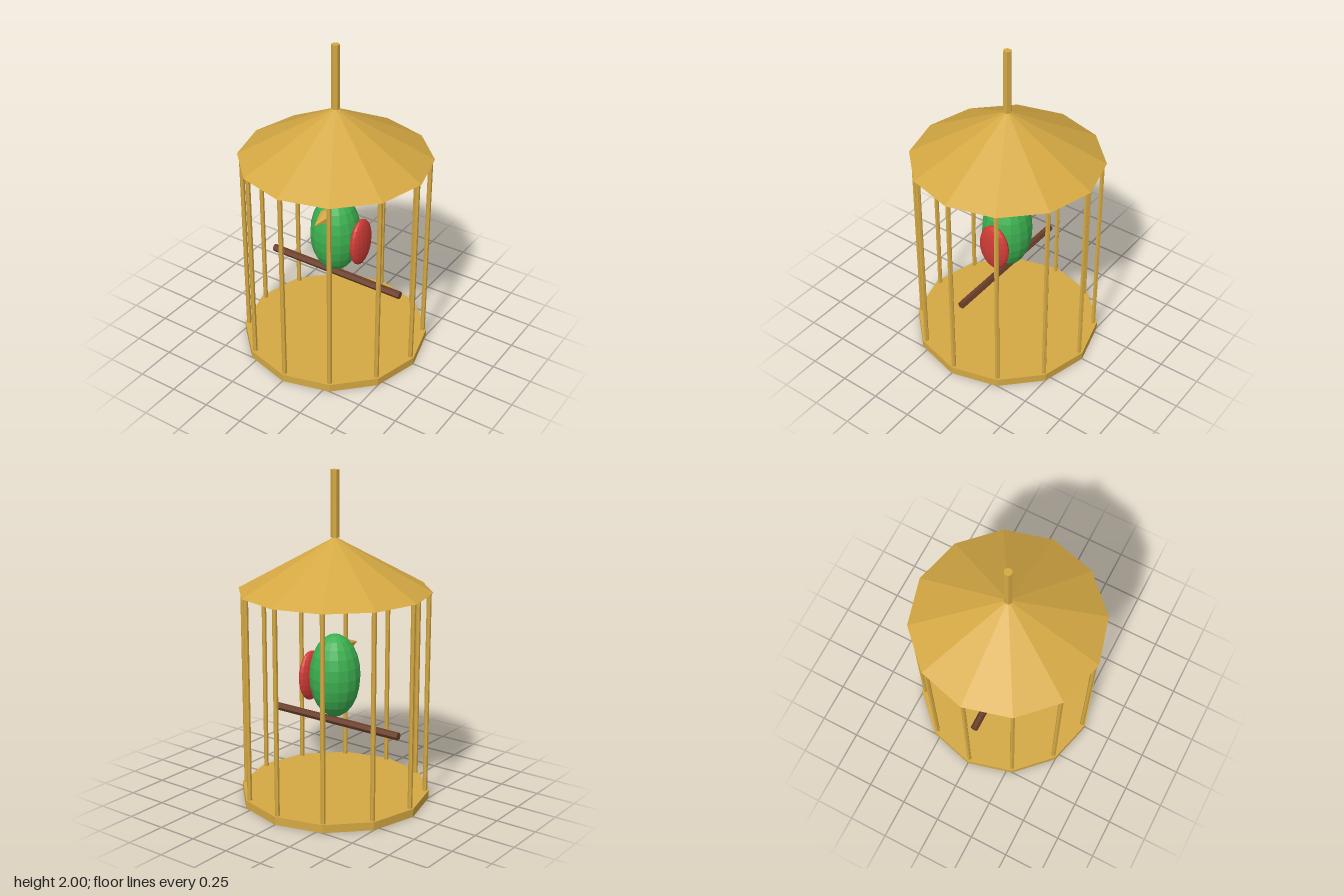
import * as THREE from 'three';

const material = (name, color) => {
  const m = new THREE.MeshStandardMaterial({ color, flatShading: true });
  m.name = name;
  return m;
};

export function createModel() {
  const gold = material('gold', 0xd4a843);
  const green = material('green', 0x3cb050);
  const red = material('red', 0xd03c36);
  const brown = material('brown', 0x6b3e2a);

  const model = new THREE.Group();
  model.name = 'birdcage';
  const add = (name, geometry, mat, x, y, z, parent = model) => {
    const mesh = new THREE.Mesh(geometry, mat);
    mesh.name = name;
    mesh.position.set(x, y, z);
    parent.add(mesh);
    return mesh;
  };

  // Cage: floor, roof and hanging rod
  add('floor', new THREE.CylinderGeometry(0.578, 0.578, 0.05, 12), gold, 0, 0.025, 0);
  add('roof', new THREE.ConeGeometry(0.578, 0.32, 12), gold, 0, 1.45, 0);
  add('hangingRod', new THREE.CylinderGeometry(0.025, 0.025, 0.395, 6), gold, 0, 1.8025, 0);

  // Ring of twelve bars
  const bars = new THREE.Group();
  bars.name = 'bars';
  model.add(bars);
  const barGeometry = new THREE.CylinderGeometry(0.0145, 0.0145, 1.24, 6);
  for (let i = 0; i < 12; i++) {
    const a = (i / 12) * Math.PI * 2;
    add('bar', barGeometry, gold, Math.cos(a) * 0.554, 0.67, Math.sin(a) * 0.554, bars);
  }

  // Perch across the cage
  const perch = add('perch', new THREE.CylinderGeometry(0.024, 0.024, 0.93, 6), brown, 0, 0.477, 0);
  perch.rotation.z = Math.PI / 2;

  // Bird: body, single side wing and beak
  const bird = new THREE.Group();
  bird.name = 'bird';
  model.add(bird);
  const body = new THREE.SphereGeometry(1, 16, 12).scale(0.155, 0.257, 0.155);
  add('body', body, green, 0, 0.765, 0, bird);
  const wing = new THREE.SphereGeometry(1, 16, 12).scale(0.042, 0.155, 0.105);
  add('wing', wing, red, 0.165, 0.74, -0.025, bird);
  const beak = new THREE.ConeGeometry(0.056, 0.155, 6).rotateX(Math.PI / 2);
  add('beak', beak, gold, 0, 0.927, 0.1475, bird);

  return model;
}
